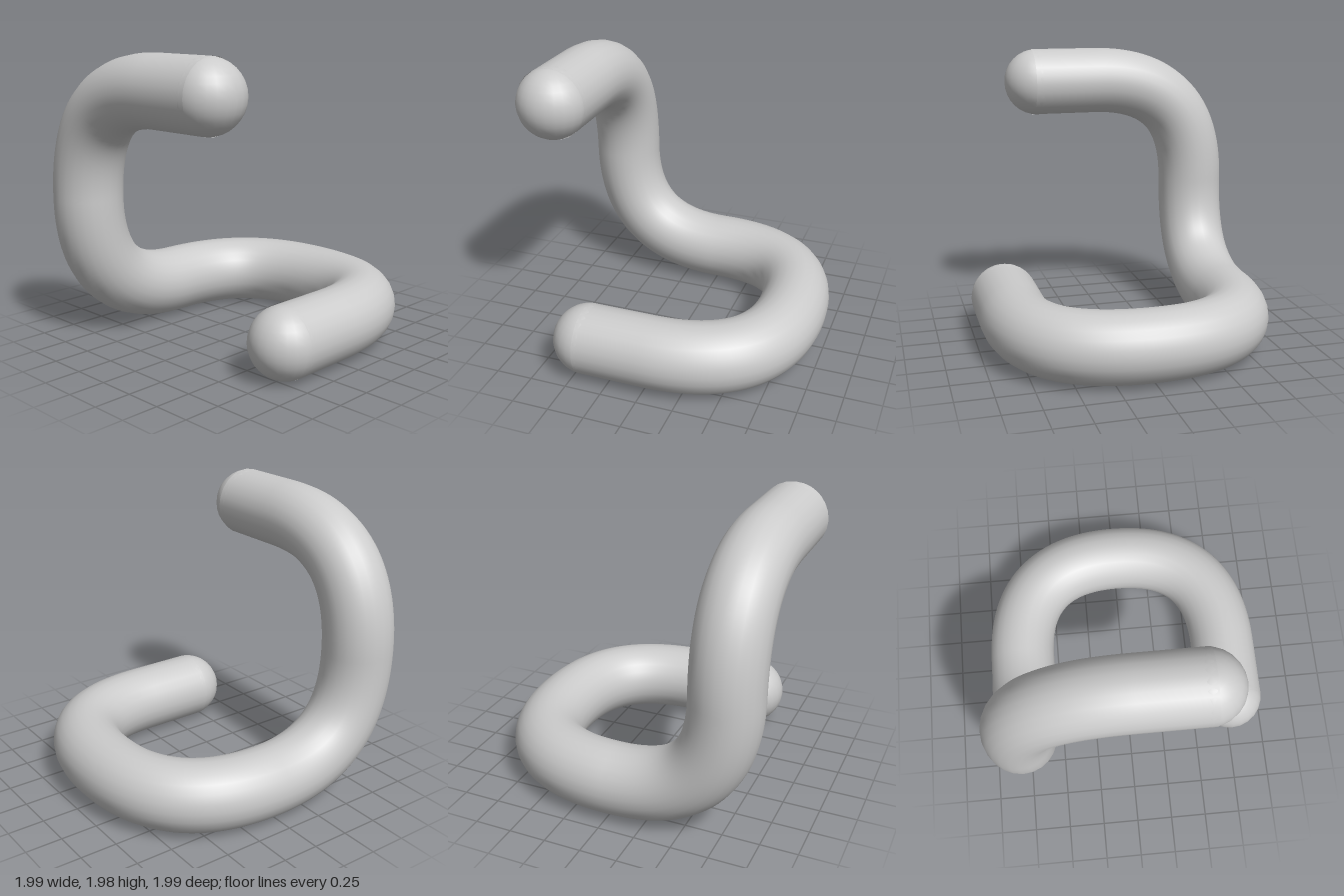
import * as THREE from 'three';

export function createModel() {
  const group = new THREE.Group();
  const material = new THREE.MeshStandardMaterial({ color: 0xcccccc, side: THREE.DoubleSide });
  const radius = 0.237;
  const r = 0.757, low = 0.25, mid = 1.0, high = 1.76;
  const v = (x, y, z) => new THREE.Vector3(x, y, z);

  // Centre line: straight ends joined by four rounded corners
  const path = new THREE.CurvePath();
  let pen = v(0.47, high, r);
  const lineTo = (end) => { path.add(new THREE.LineCurve3(pen, end)); pen = end; };
  const bendTo = (corner, end) => {
    path.add(new THREE.QuadraticBezierCurve3(pen, corner, end));
    pen = end;
  };
  lineTo(v(0, high, r));
  bendTo(v(-r, high, r), v(-r, mid, r));
  bendTo(v(-r, low, r), v(-r, low, 0));
  bendTo(v(-r, low, -r), v(0, low, -r));
  bendTo(v(r, low, -r), v(r, low, 0));
  lineTo(v(r, low, 0.45));

  const tube = new THREE.Mesh(new THREE.TubeGeometry(path, 160, radius, 24), material);
  tube.name = 'bentTube';
  group.add(tube);

  // Rounded ends
  const caps = { upperEnd: v(0.43, high, r), lowerEnd: v(r, low, 0.43) };
  for (const [name, position] of Object.entries(caps)) {
    const cap = new THREE.Mesh(new THREE.SphereGeometry(radius, 24, 16), material);
    cap.name = name;
    cap.position.copy(position);
    group.add(cap);
  }
  return group;
}
